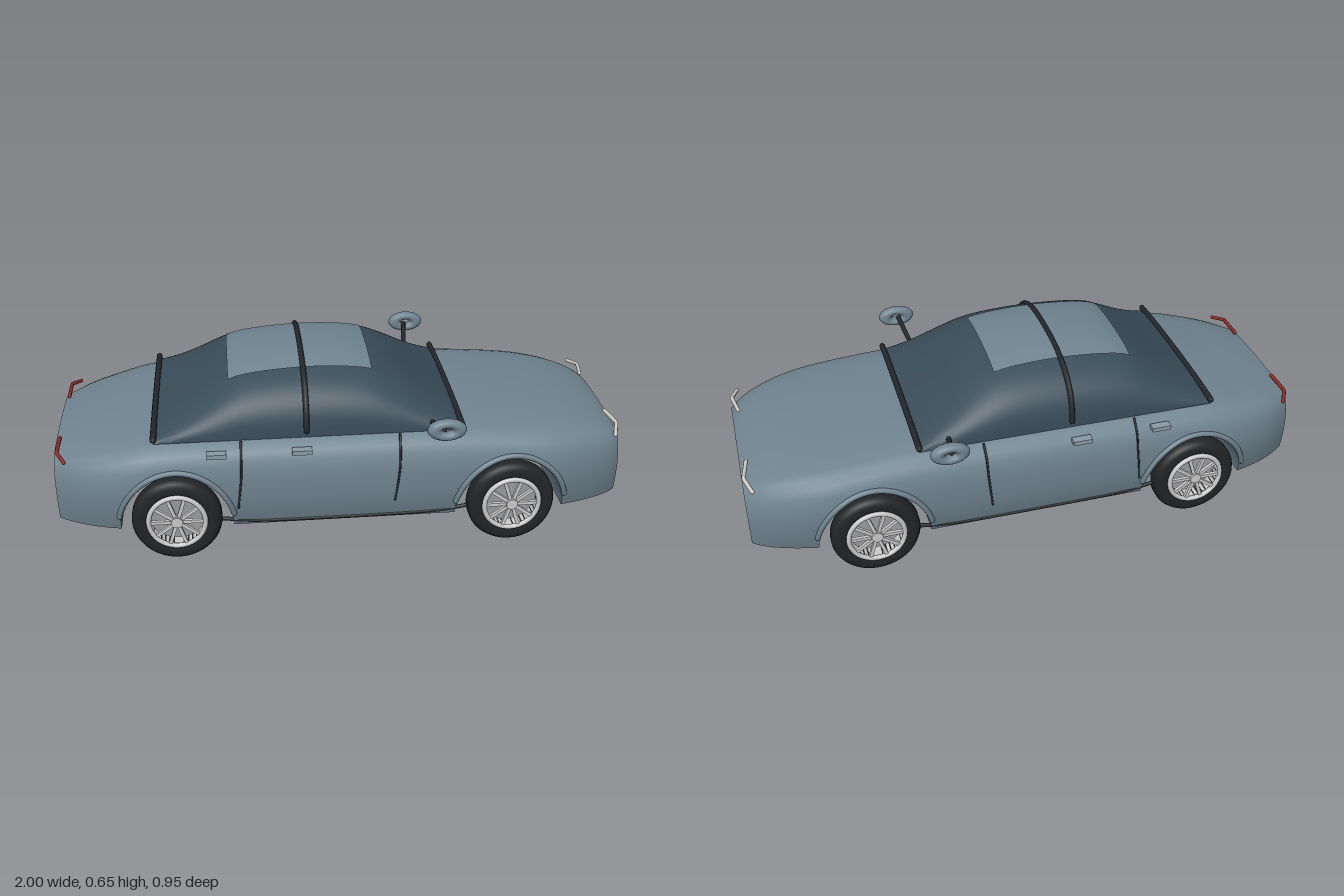
import * as THREE from 'three';
import { toCreasedNormals } from 'three/addons/utils/BufferGeometryUtils.js';

const V = (x, y, z) => new THREE.Vector3(x, y, z);
const mat = (color, side = THREE.FrontSide) => new THREE.MeshStandardMaterial({ color, side });
const paint = mat(0x708490), glass = mat(0x3a4d59, THREE.DoubleSide), trim = mat(0x24282b);
const rubber = mat(0x222426), alloy = mat(0xcccccc, THREE.DoubleSide);
const headlamp = mat(0xd2cec4), tailLamp = mat(0x8c2c26), handlePaint = mat(0x8c9ba5);

// Smooth interpolation through [x, value] pairs
function smooth(pts) {
  const slope = i => {
    const a = pts[Math.max(i - 1, 0)], b = pts[Math.min(i + 1, pts.length - 1)];
    return (b[1] - a[1]) / (b[0] - a[0]);
  };
  return x => {
    let i = 0;
    while (i < pts.length - 2 && x > pts[i + 1][0]) i++;
    const [x0, y0] = pts[i], [x1, y1] = pts[i + 1], d = x1 - x0, t = (x - x0) / d;
    const t2 = t * t, t3 = t2 * t;
    return y0 * (2 * t3 - 3 * t2 + 1) + slope(i) * d * (t3 - 2 * t2 + t)
      + y1 * (3 * t2 - 2 * t3) + slope(i + 1) * d * (t3 - t2);
  };
}

// Skin over cross-sections running along +x
function loft(rows, closed, crease) {
  const n = rows[0].length, pos = rows.flat().flatMap(p => p.toArray()), idx = [];
  for (let i = 0; i < rows.length - 1; i++) {
    for (let j = 0; j < (closed ? n : n - 1); j++) {
      const a = i * n + j, b = i * n + (j + 1) % n;
      idx.push(a, b, a + n, b, b + n, a + n);
    }
  }
  if (closed) [0, rows.length - 1].forEach(r => {
    const c = pos.length / 3, y = (rows[r][0].y + 0.11) / 2;
    pos.push(rows[r][0].x, y, 0);
    for (let j = 0; j < n; j++) {
      const a = r * n + j, b = r * n + (j + 1) % n;
      r ? idx.push(c, a, b) : idx.push(c, b, a);
    }
  });
  const g = new THREE.BufferGeometry();
  g.setAttribute('position', new THREE.Float32BufferAttribute(pos, 3));
  g.setIndex(idx);
  return toCreasedNormals(g, crease);
}

function add(parent, name, geometry, material) {
  const m = new THREE.Mesh(geometry, material);
  m.name = name;
  parent.add(m);
  return m;
}

// Round bar with closed ends along a path
function bar(parent, name, pts, r, material, straight = false) {
  const curve = new THREE.CatmullRomCurve3(pts, false, 'catmullrom', straight ? 0.05 : 0.5);
  const g = new THREE.Group();
  g.name = name;
  parent.add(g);
  add(g, name + 'Bar', new THREE.TubeGeometry(curve, 32, r, 8), material);
  for (const p of [pts[0], pts[pts.length - 1]])
    add(g, name + 'End', new THREE.SphereGeometry(r, 8, 6), material).position.copy(p);
}

// Body outlines
const WHEEL_X = 0.585, ARCH_W = 0.195, ARCH_H = 0.217, FLOOR = 0.112;
const topY = smooth([[-1, 0.36], [-0.9, 0.385], [-0.8, 0.405], [-0.66, 0.432], [-0.4, 0.44],
  [0.4, 0.44], [0.6, 0.428], [0.8, 0.407], [0.9, 0.387], [0.97, 0.363], [1, 0.345]]);
const halfW = smooth([[-1, 0.285], [-0.96, 0.313], [-0.9, 0.347], [-0.8, 0.382], [-0.7, 0.398],
  [-0.5, 0.4], [0.5, 0.4], [0.7, 0.398], [0.8, 0.382], [0.9, 0.35], [0.97, 0.315], [1, 0.29]]);
const floorY = x => {
  const d = (Math.abs(x) - WHEEL_X) / ARCH_W;
  return FLOOR + ARCH_H * Math.sqrt(Math.max(0, 1 - d * d));
};
// Half width of the flank at a given height
const sideZ = (x, y) => {
  const u = Math.max(0, 1 - (topY(x) - 0.075 - y) / 0.08), low = Math.max(0, (0.25 - y) / 0.14);
  return halfW(x) * (1 - 0.03 * u * u - 0.06 * low * low * Math.min(1, halfW(x) / 0.4));
};

function bodySection(x) {
  const t = topY(x), w = halfW(x), f = floorY(x), half = [];
  for (const [k, d] of [[0.35, 0.002], [0.65, 0.008], [0.8, 0.016], [0.88, 0.026], [0.935, 0.046]])
    half.push([k * w, t - d]);
  for (let i = 0; i <= 7; i++) {
    const y = THREE.MathUtils.lerp(t - 0.075, f, i / 7);
    half.push([sideZ(x, y), y]);
  }
  return [V(x, t, 0), ...half.map(([z, y]) => V(x, y, z)), V(x, f - 0.005, 0),
    ...half.reverse().map(([z, y]) => V(x, y, -z))];
}

// Cabin: superellipse sections
const CAB_W = 0.335, CAB_Y = 0.423, N = 2.6;
const roofY = smooth([[-0.65, 0.446], [-0.55, 0.5], [-0.4, 0.59], [-0.34, 0.613], [-0.2, 0.631],
  [-0.05, 0.634], [0.1, 0.617], [0.2, 0.574], [0.3, 0.512], [0.41, 0.448]]);
const cabinY = (x, z) => CAB_Y + (roofY(x) - CAB_Y) * (1 - Math.abs(z / CAB_W) ** N) ** (1 / N);
function cabinSection(x, grow = 0, start = 0) {
  const out = [];
  for (let i = 0; i <= 36; i++) {
    const a = start + (Math.PI - 2 * start) * i / 36, c = Math.cos(a), s = Math.max(0, Math.sin(a));
    out.push(V(x, CAB_Y + (roofY(x) - CAB_Y + grow) * s ** (2 / N),
      -(CAB_W + grow) * Math.sign(c) * Math.abs(c) ** (2 / N)));
  }
  return out;
}

function makeWheel() {
  const wheel = new THREE.Group();
  const profile = [[0.104, -0.03], [0.11, -0.036], [0.135, -0.036], [0.148, -0.028], [0.155, -0.013],
    [0.155, 0.013], [0.148, 0.028], [0.135, 0.036], [0.11, 0.036], [0.104, 0.03], [0.104, -0.03]];
  const tyre = new THREE.LatheGeometry(profile.map(p => new THREE.Vector2(...p)), 48);
  add(wheel, 'tyre', tyre.rotateX(Math.PI / 2), rubber);
  add(wheel, 'rimBarrel', new THREE.CylinderGeometry(0.104, 0.104, 0.062, 40, 1, true).rotateX(Math.PI / 2), alloy);
  add(wheel, 'rimLip', new THREE.TorusGeometry(0.097, 0.009, 8, 40), alloy).position.z = 0.033;
  add(wheel, 'hub', new THREE.CylinderGeometry(0.02, 0.024, 0.024, 20).rotateX(Math.PI / 2), alloy).position.z = 0.03;
  for (let i = 0; i < 10; i++) {
    const spoke = add(wheel, 'spoke', new THREE.BoxGeometry(0.082, 0.012, 0.012).translate(0.056, 0, 0.031), alloy);
    spoke.rotation.z = i * Math.PI / 5;
  }
  return wheel;
}

export function createModel() {
  const car = new THREE.Group();
  car.name = 'car';

  // Body shell with wheel tunnels
  const xs = [-1, -0.98, -0.96, -0.93, -0.9, -0.86, -0.82, -0.3, -0.15, 0, 0.15, 0.3,
    0.82, 0.86, 0.9, 0.93, 0.96, 0.98, 1];
  for (const c of [-WHEEL_X, WHEEL_X])
    for (let i = 0; i <= 28; i++) xs.push(c + ARCH_W * Math.cos(Math.PI * i / 28));
  xs.sort((a, b) => a - b);
  add(car, 'body', loft(xs.map(bodySection), true, 0.6), paint);

  // Cabin glass and roof panel
  const rows = [];
  for (let i = 0; i <= 40; i++) rows.push(cabinSection(-0.65 + 1.06 * i / 40));
  add(car, 'cabinGlass', loft(rows, false, 0.8), glass);
  const panel = [];
  for (let i = 0; i <= 16; i++) {
    const x = -0.39 + 0.5 * i / 16, row = [];
    for (let j = 0; j <= 12; j++) {
      const z = -0.19 + 0.38 * j / 12;
      row.push(V(x, cabinY(x, z) + 0.005, z));
    }
    panel.push(row);
  }
  add(car, 'roofPanel', loft(panel, false, 0.8), mat(0x708490, THREE.DoubleSide));

  // Cabin frame bars
  bar(car, 'roofHoop', cabinSection(-0.13, 0.003, 0.06), 0.01, trim);
  for (const [name, x] of [['windscreenBar', 0.41], ['rearWindowBar', -0.65]])
    bar(car, name, [V(x, 0.44, -0.337), V(x, 0.447, -0.2), V(x, 0.45, 0), V(x, 0.447, 0.2), V(x, 0.44, 0.337)], 0.011, trim);

  // Rear bumper insert
  add(car, 'rearInsert', new THREE.BoxGeometry(0.012, 0.055, 0.44), trim).position.set(-0.996, 0.165, 0);

  for (const s of [1, -1]) {
    const side = new THREE.Group();
    side.name = s > 0 ? 'frontFacingSide' : 'backFacingSide';
    car.add(side);

    for (const c of [-WHEEL_X, WHEEL_X]) {
      const wheel = makeWheel();
      wheel.name = c > 0 ? 'frontWheel' : 'rearWheel';
      wheel.position.set(c, 0.157, s * 0.378);
      if (s < 0) wheel.rotation.y = Math.PI;
      side.add(wheel);
      // Wheel arch lip
      const lip = [];
      for (let i = 0; i <= 24; i++) {
        const a = Math.PI * (0.08 + 0.84 * i / 24);
        const x = c + 0.203 * Math.cos(a), y = FLOOR + 0.228 * Math.sin(a);
        lip.push(V(x, y, s * (sideZ(x, y) + 0.001)));
      }
      bar(side, 'archLip', lip, 0.01, paint);
    }

    // Door seams, sill strip and handles
    for (const x of [-0.355, 0.19]) {
      const seam = [[0, 0.425], [-0.002, 0.38], [-0.004, 0.32], [-0.01, 0.26], [-0.018, 0.19]]
        .map(([d, y]) => V(x + d, y, s * (y > 0.4 ? 0.35 : sideZ(x, y) - 0.001)));
      bar(side, 'doorSeam', seam, 0.004, trim);
    }
    bar(side, 'sillStrip', [V(-0.44, 0.14, s * 0.376), V(-0.3, 0.125, s * 0.378), V(0, 0.122, s * 0.378),
      V(0.3, 0.125, s * 0.378), V(0.44, 0.14, s * 0.376)], 0.007, trim);
    for (const x of [-0.44, -0.15])
      add(side, 'doorHandle', new THREE.BoxGeometry(0.068, 0.016, 0.03), handlePaint).position.set(x, 0.4, s * 0.39);

    // Wing mirror on its stalk
    bar(side, 'mirrorStalk', [V(0.305, 0.452, s * 0.325), V(0.315, 0.472, s * 0.39), V(0.322, 0.487, s * 0.45)], 0.009, trim);
    const mirror = add(side, 'mirror', new THREE.TorusGeometry(0.041, 0.026, 14, 32), paint);
    mirror.scale.set(1, 0.58, 0.8);
    mirror.position.set(0.33, 0.493, s * 0.457);

    // Light strips
    bar(side, 'headlight', [V(0.976, 0.373, s * 0.155), V(0.992, 0.37, s * 0.245), V(0.97, 0.357, s * 0.31)], 0.007, headlamp, true);
    bar(side, 'tailLight', [V(-0.985, 0.37, s * 0.16), V(-0.985, 0.37, s * 0.265), V(-0.957, 0.358, s * 0.315)], 0.007, tailLamp, true);
  }
  return car;
}
